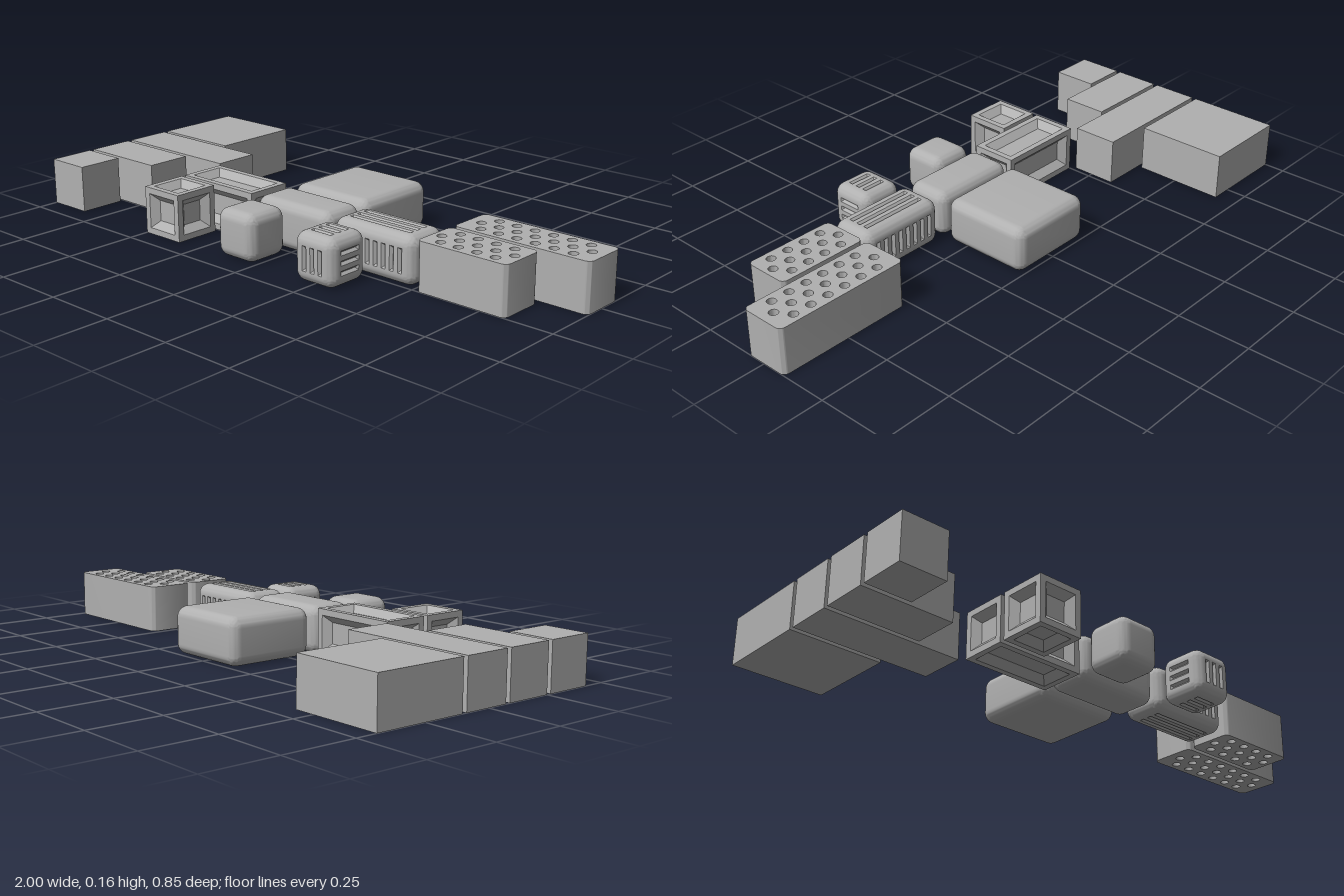
import * as THREE from 'three';
import { toCreasedNormals } from 'three/addons/utils/BufferGeometryUtils.js';

const U = 2 / 12.4;      // one block unit
const GAP = U / 10;
const PITCH = U + GAP;
const RADIUS = 0.036;
const clamp01 = (t) => Math.min(1, Math.max(0, t));

// Box whose faces are grids: edges rounded by r, faces sunk by depth(u, v, hu, hv).
// lines(h, across) lists the extra grid lines needed along a face direction.
function reliefBox(size, r, lines, depth) {
  const half = size.map((s) => s / 2);
  const pos = [];
  const gridLines = (h, across) => {
    const list = [-h, h, ...lines(h, across)];
    if (r > 0) {
      for (let i = 0; i < 5; i++) {
        const t = h - r + r * Math.tan((i / 5) * Math.PI / 4);
        list.push(t, -t);
      }
    }
    list.sort((a, b) => a - b);
    return list.filter((t, i) => i === 0 || t - list[i - 1] > 1e-5);
  };
  for (let a = 0; a < 3; a++) {
    const b = (a + 1) % 3, c = (a + 2) % 3;
    const us = gridLines(half[b], true), vs = gridLines(half[c], false);
    for (const side of [1, -1]) {
      const point = (u, v) => {
        const d = depth(u, v, half[b], half[c]);
        const p = [0, 0, 0];
        p[a] = side * half[a]; p[b] = u; p[c] = v;
        const core = p.map((t, i) => Math.max(r - half[i], Math.min(half[i] - r, t)));
        const off = new THREE.Vector3(...p.map((t, i) => t - core[i]));
        if (r > 0) off.setLength(r);
        const q = off.add(new THREE.Vector3(...core)).toArray();
        q[a] -= side * d;
        return { q, d };
      };
      for (let i = 0; i < us.length - 1; i++) {
        for (let j = 0; j < vs.length - 1; j++) {
          let k = [point(us[i], vs[j]), point(us[i + 1], vs[j]),
            point(us[i + 1], vs[j + 1]), point(us[i], vs[j + 1])];
          if (side < 0) k = [k[0], k[3], k[2], k[1]];
          // fold each cell along its slope
          if (Math.abs(k[1].d - k[3].d) > Math.abs(k[0].d - k[2].d)) k = [k[1], k[2], k[3], k[0]];
          for (const n of [0, 1, 2, 0, 2, 3]) pos.push(...k[n].q);
        }
      }
    }
  }
  const g = new THREE.BufferGeometry();
  g.setAttribute('position', new THREE.Float32BufferAttribute(pos, 3));
  return toCreasedNormals(g, 0.6);
}

const plainBox = (size) => new THREE.BoxGeometry(...size);

const roundedBox = (size) => reliefBox(size, RADIUS, () => [], () => 0);

// A sloped recess in every face
function recessedBox(size) {
  const rim = 0.021, slope = 0.024, sink = 0.024;
  return reliefBox(size, 0,
    (h) => [rim, rim + slope].flatMap((m) => [h - m, m - h]),
    (u, v, hu, hv) => sink * clamp01((Math.min(hu - Math.abs(u), hv - Math.abs(v)) - rim) / slope));
}

// Rounded block with a row of short V grooves in every face
function groovedBox(size) {
  const w = 0.008, sink = 0.009, spacing = U / 5;
  const centres = (h) => {
    const n = 5 * Math.round(2 * h / U) - 2;
    return Array.from({ length: n }, (_, i) => (i - (n - 1) / 2) * spacing);
  };
  return reliefBox(size, RADIUS,
    (h, across) => across
      ? centres(h).flatMap((t) => [t - w, t, t + w])
      : [h - 0.04, h - 0.04 - w].flatMap((t) => [t, -t]),
    (u, v, hu, hv) => {
      const near = Math.min(...centres(hu).map((t) => Math.abs(u - t)));
      return sink * clamp01(Math.min(w - near, hv - 0.04 - Math.abs(v)) / w);
    });
}

// Block with rounded upright edges and staggered holes from top to bottom
function perforatedBox([w, h, d]) {
  const x = w / 2, y = d / 2, r = 0.02;
  const shape = new THREE.Shape();
  shape.absarc(x - r, y - r, r, 0, Math.PI / 2);
  shape.absarc(r - x, y - r, r, Math.PI / 2, Math.PI);
  shape.absarc(r - x, r - y, r, Math.PI, Math.PI * 1.5);
  shape.absarc(x - r, r - y, r, Math.PI * 1.5, Math.PI * 2);
  shape.closePath();
  const middle = Math.round(w / U) * 2 + 1;
  for (const row of [-1, 0, 1]) {
    const n = row === 0 ? middle : middle - 1;
    for (let i = 0; i < n; i++) {
      const hole = new THREE.Path();
      hole.absarc((i - (n - 1) / 2) * 0.0655, row * 0.048, 0.0155, 0, Math.PI * 2, true);
      shape.holes.push(hole);
    }
  }
  const g = new THREE.ExtrudeGeometry(shape, { depth: h, bevelEnabled: false, curveSegments: 8 });
  g.translate(0, 0, -h / 2).rotateX(-Math.PI / 2);
  return toCreasedNormals(g, 0.7);
}

export function createModel() {
  const group = new THREE.Group();
  group.name = 'blockSet';
  const grey = new THREE.MeshStandardMaterial({ color: 0xb0b0b0 });
  grey.name = 'grey';

  // x of each column's left edge, and z of each row's back edge
  const cols = { plain: -1, recessed: -1 + 3.1 * U, rounded: -U, grooved: 1.1 * U, perforated: 3.2 * U };
  const front = 2.65 * U - U;
  const rows = { single: front, double: front - PITCH, triple: front - 2 * PITCH, square: front - 3 * PITCH - U };
  const sizes = { single: [1, 1], double: [2, 1], triple: [3, 1], square: [2, 2] };

  const add = (kind, make, list) => {
    for (const [sizeName, z = rows[sizeName]] of list) {
      const [nx, nz] = sizes[sizeName];
      const mesh = new THREE.Mesh(make([nx * U, U, nz * U]), grey);
      mesh.name = `${kind}${sizeName[0].toUpperCase()}${sizeName.slice(1)}Block`;
      mesh.position.set(cols[kind] + nx * U / 2, U / 2, z + nz * U / 2);
      group.add(mesh);
    }
  };
  add('plain', plainBox, [['single'], ['double'], ['triple'], ['square']]);
  add('recessed', recessedBox, [['single'], ['double']]);
  add('rounded', roundedBox, [['single'], ['double'], ['square', rows.triple - U]]);
  add('grooved', groovedBox, [['single'], ['double']]);
  add('perforated', perforatedBox, [['double'], ['triple']]);
  return group;
}
